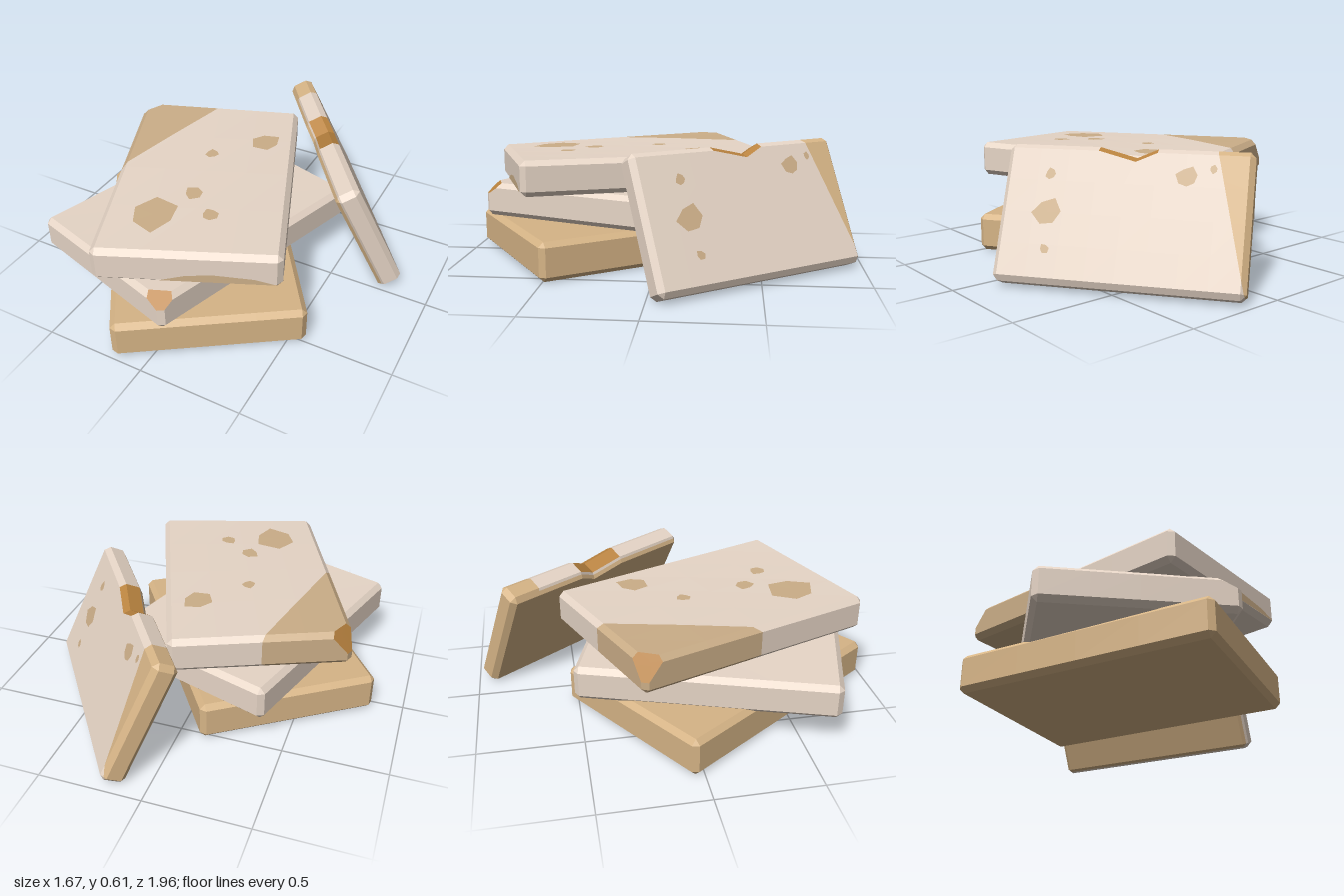
import * as THREE from 'three';

const STONE = 0xe6d5c6, SAND = 0xd6b486, STAIN = 0xcbae88, CHIP = 0xb9833f;
const V = (x, y, z) => new THREE.Vector3(x, y, z);

// Chamfered block as a list of triangles; bevel b, grid lines nx/nz along the long sides
function block(hx, hy, hz, b, nx = 6, nz = 6, dent) {
  const g = new THREE.BoxGeometry(2, 2, 2, nx, 3, nz).toNonIndexed();
  const p = g.attributes.position, half = [hx, hy, hz], n = [nx, 3, nz], pts = [];
  for (let i = 0; i < p.count; i++) {
    const c = [p.getX(i), p.getY(i), p.getZ(i)];
    const ends = c.filter((t) => Math.abs(t) > 0.999).length;
    const inset = [0, 0, b / 2, (2 * b) / 3][ends];
    const v = V(...c.map((t, k) => {
      if (Math.abs(t) > 0.999) return Math.sign(t) * (half[k] - inset);
      const step = Math.round(((t + 1) / 2) * n[k]);
      return (half[k] - b) * ((2 * (step - 1)) / (n[k] - 2) - 1);
    }));
    if (dent) dent(v);
    pts.push(v);
  }
  const tris = [];
  for (let i = 0; i < pts.length; i += 3) tris.push(pts.slice(i, i + 3));
  return tris;
}

// Part of a triangle on one side of a plane, as a fan
function clip(tri, n, d, side) {
  const out = [];
  tri.forEach((a, i) => {
    const c = tri[(i + 1) % 3];
    const da = (a.dot(n) - d) * side, dc = (c.dot(n) - d) * side;
    if (da >= 0) out.push(a.clone());
    if (da * dc < 0) out.push(a.clone().lerp(c, da / (da - dc)));
  });
  const fan = [];
  for (let i = 1; i < out.length - 1; i++) fan.push([out[0].clone(), out[i].clone(), out[i + 1].clone()]);
  return fan;
}

// Recolours everything beyond a plane; with flat = true that part is also broken off
function cut(faces, { n, d, color, flat }) {
  n = V(...n);
  d /= n.length();
  n.normalize();
  const result = [];
  for (const f of faces) {
    for (const tri of clip(f.tri, n, d, -1)) result.push({ tri, color: f.color });
    for (const tri of clip(f.tri, n, d, 1)) {
      if (flat) tri.forEach((v) => v.addScaledVector(n, d - v.dot(n)));
      result.push({ tri, color });
    }
  }
  return result;
}

// Uneven polygon of stain lying on the upper face
function spot(x, z, r, y, sides) {
  const ring = [];
  for (let i = 0; i < sides; i++) {
    const a = (-i / sides) * Math.PI * 2 + x * 9, q = r * (0.86 + 0.16 * Math.sin(i * 2.4 + z * 20));
    ring.push(V(x + q * Math.cos(a), y, z + q * Math.sin(a)));
  }
  return ring.map((v, i) => ({ tri: [V(x, y, z), v.clone(), ring[(i + 1) % sides].clone()], color: STAIN }));
}

// Slab group: one mesh per colour; lift = height offset of corners [-x-z, +x-z, -x+z, +x+z]
function slab(name, { size, bevel = 0.025, color = STONE, nx, dent, paint, cuts = [], spots = [], extra = [], lift = [0, 0, 0, 0] }) {
  const [hx, hy, hz] = size;
  let faces = block(hx, hy, hz, bevel, nx, 6, dent).map((tri) => ({ tri, color }));
  for (const c of cuts) faces = cut(faces, c);
  if (paint) faces.forEach((f) => paint(f));
  spots.forEach(([x, z, r], i) => faces.push(...spot(x, z, r, hy + 0.003, 6 + (i % 2))));
  faces.push(...extra);

  const byColor = new Map();
  for (const f of faces) {
    if (!byColor.has(f.color)) byColor.set(f.color, []);
    for (const v of f.tri) {
      const u = (v.x / hx + 1) / 2, w = (v.z / hz + 1) / 2;
      const y = v.y + (lift[0] * (1 - u) + lift[1] * u) * (1 - w) + (lift[2] * (1 - u) + lift[3] * u) * w;
      byColor.get(f.color).push(v.x, y, v.z);
    }
  }
  const group = new THREE.Group();
  group.name = name;
  const label = { [STONE]: 'Stone', [SAND]: 'Sandstone', [STAIN]: 'Stain', [CHIP]: 'Chip' };
  for (const [col, list] of byColor) {
    const g = new THREE.BufferGeometry();
    g.setAttribute('position', new THREE.Float32BufferAttribute(list, 3));
    g.computeVertexNormals();
    const mesh = new THREE.Mesh(g, new THREE.MeshStandardMaterial({ color: col, flatShading: true }));
    mesh.name = name + label[col];
    group.add(mesh);
  }
  return group;
}

export function createModel() {
  const model = new THREE.Group();
  model.name = 'stackedSlabs';

  // Bottom sandstone slab
  const bottom = slab('bottomSlab', { size: [0.445, 0.095, 0.63], color: SAND });
  bottom.position.set(-0.135, 0.105, 0.225);
  bottom.rotation.y = 0.593;

  // Middle slab with a broken front corner
  const middle = slab('middleSlab', {
    size: [0.447, 0.085, 0.617],
    lift: [0, 0.01, -0.01, 0.025],
    cuts: [{ n: [0.4, 0.75, 0.5], d: 0.497, color: CHIP, flat: true }],
  });
  middle.position.set(-0.165, 0.27, 0.19);
  middle.rotation.y = -0.31;

  // Top slab: stained back-left corner with a chip, stains on top and on the front edge
  const hump = [[-0.12, -0.062], [0.4, -0.062], [0.3, -0.035], [0.12, -0.02], [0.0, -0.03]].map(([x, y]) => V(x, y, 0.63));
  hump.forEach((v) => (v.z = 0.631));
  const top = slab('topSlab', {
    size: [0.422, 0.085, 0.628],
    lift: [0.02, 0.005, -0.015, 0.015],
    cuts: [
      { n: [-0.831, 0, -0.556], d: 0.353, color: STAIN },
      { n: [-0.6, 0.5, -0.62], d: 0.615, color: CHIP, flat: true },
    ],
    spots: [[0.27, -0.285, 0.085], [0.012, -0.15, 0.04], [-0.027, 0.189, 0.055], [0.072, 0.346, 0.045], [-0.183, 0.363, 0.13]],
    extra: [1, 2, 3].map((i) => ({ tri: [hump[0].clone(), hump[i].clone(), hump[i + 1].clone()], color: STAIN })),
  });
  top.position.set(-0.125, 0.46, 0.175);
  top.rotation.y = 0.38;

  // Slab leaning on the pile: sandstone inner face and back end, notch in the upper edge
  const leaning = slab('leaningSlab', {
    size: [0.565, 0.06, 0.32],
    nx: 10,
    dent: (v) => {
      if (Math.abs(v.x) < 0.01 && v.z > 0.25) {
        v.x -= 0.04;
        v.z -= 0.045;
      }
    },
    cuts: [
      { n: [-1, 0, 0.25], d: 0.48, color: SAND },
      { n: [0, -1, 0], d: 0.045, color: SAND },
    ],
    paint: (f) => {
      const c = f.tri[0].clone().add(f.tri[1]).add(f.tri[2]).divideScalar(3);
      if (Math.abs(c.x + 0.02) < 0.1 && c.z > 0.265 && c.y > -0.02) f.color = CHIP;
    },
    spots: [[0.34, 0, 0.075], [0.345, 0.177, 0.03], [0.33, -0.166, 0.025], [-0.276, 0.19, 0.055], [-0.39, 0.23, 0.022]],
  });
  const along = V(0.582, 0, 0.813).normalize();
  const upSlope = V(-0.355, 0.903, 0.254).normalize();
  const outward = upSlope.clone().cross(along).normalize();
  leaning.quaternion.setFromRotationMatrix(new THREE.Matrix4().makeBasis(along, outward, upSlope));
  leaning.position.set(0.37, 0.313, -0.424);

  model.add(bottom, middle, top, leaning);
  return model;
}
